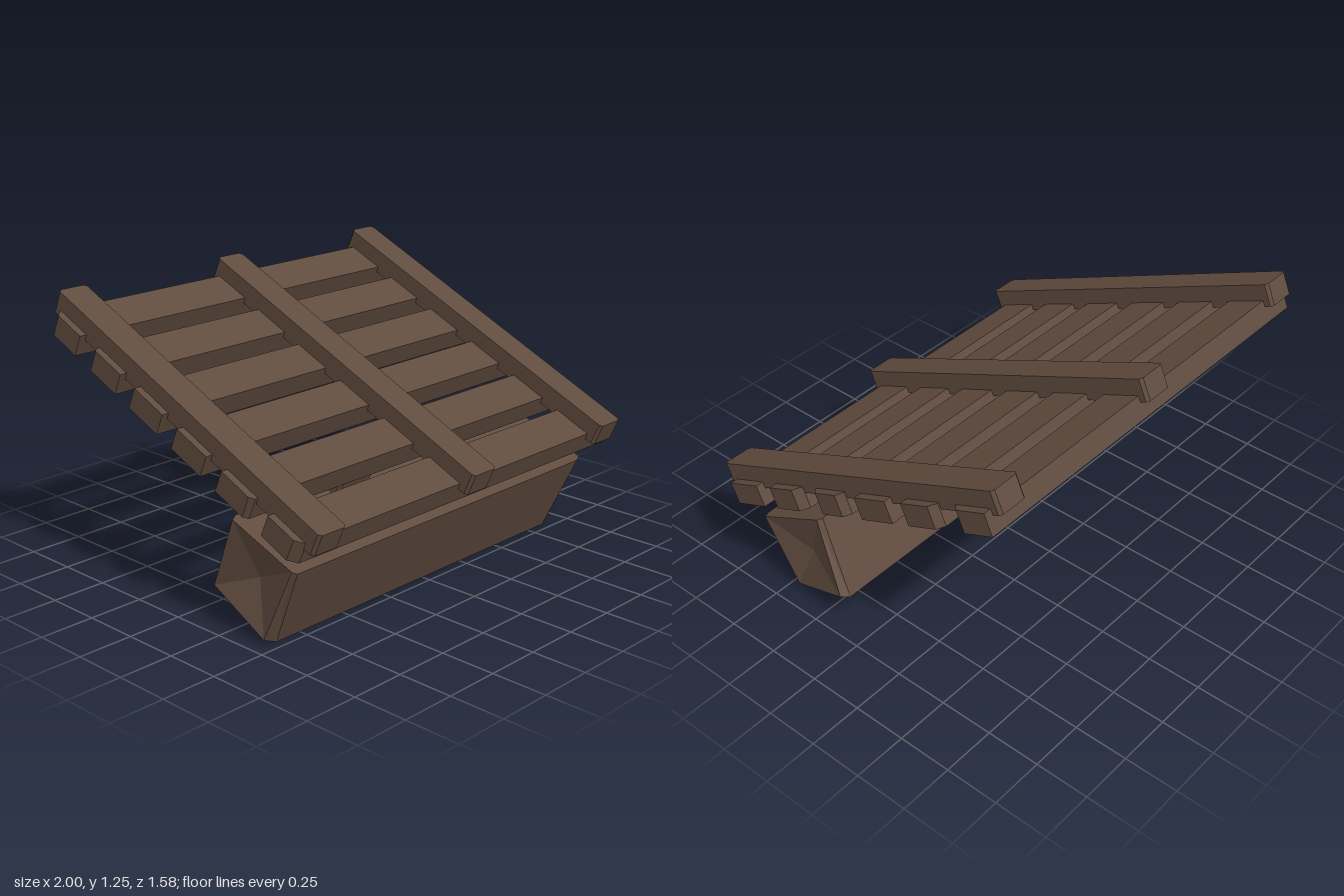
import * as THREE from 'three';

const wood = new THREE.MeshStandardMaterial({ color: 0x614c3f });
wood.name = 'darkWood';

// Flat board seen from above, cuts = corner chamfers in order
// (-x,+z), (+x,+z), (+x,-z), (-x,-z)
function board(name, w, h, d, cuts, x, y, z) {
  const [a, b, c, e] = cuts, X = w / 2, Z = d / 2;
  const pts = [
    [-X, -Z + a], [-X + a, -Z], [X - b, -Z], [X, -Z + b],
    [X, Z - c], [X - c, Z], [-X + e, Z], [-X, Z - e],
  ].filter((p, i, all) => i === 0 || Math.hypot(p[0] - all[i - 1][0], p[1] - all[i - 1][1]) > 1e-5);
  const shape = new THREE.Shape(pts.map(([px, py]) => new THREE.Vector2(px, py)));
  const geo = new THREE.ExtrudeGeometry(shape, { depth: h, bevelEnabled: false });
  geo.rotateX(-Math.PI / 2).translate(0, -h / 2, 0);
  const mesh = new THREE.Mesh(geo, wood);
  mesh.name = name;
  mesh.position.set(x, y, z);
  return mesh;
}

// Square beam with roughly hewn, hollowed ends
function hewnBeam() {
  const top = 0.567, bottom = 0.187, front = 0.418, back = 0.043, inset = 0.018;
  // Corners run top front, bottom front, bottom back, top back
  const full = [[top, front], [bottom, front], [bottom, back], [top, back]];
  const rim = [[top, front - inset], [bottom + inset, front - inset],
    [bottom + inset, back + inset], [top, back + inset]];
  const ring = (section, xs) => section.map(([y, z], i) => [xs[i], y, z]);
  const rings = [
    ring(rim, [-0.925, -0.94, -0.92, -0.945]),
    ring(full, [-0.91, -0.88, -0.88, -0.91]),
    ring(full, [0.9, 0.86, 0.91, 0.89]),
    ring(rim, [0.935, 0.905, 0.945, 0.91]),
  ];
  const midY = (top + bottom) / 2, midZ = (front + back) / 2;
  const pos = [];
  const tri = (...p) => p.forEach((v) => pos.push(...v));
  for (let k = 0; k < 4; k++) {
    const n = (k + 1) % 4;
    for (let r = 0; r < 3; r++) {
      const L = rings[r], R = rings[r + 1];
      tri(L[k], L[n], R[n]);
      tri(L[k], R[n], R[k]);
    }
    tri([-0.875, midY, midZ], rings[0][n], rings[0][k]);
    tri([0.875, midY, midZ], rings[3][k], rings[3][n]);
  }
  const geo = new THREE.BufferGeometry();
  geo.setAttribute('position', new THREE.Float32BufferAttribute(pos, 3));
  geo.computeVertexNormals();
  const mesh = new THREE.Mesh(geo, wood);
  mesh.name = 'supportBeam';
  return mesh;
}

export function createModel() {
  const model = new THREE.Group();
  model.name = 'slattedPlatform';

  // Everything shares one slope
  const tilt = new THREE.Group();
  tilt.name = 'tiltedFrame';
  tilt.rotation.x = 0.417;
  model.add(tilt);

  // Long rails on top
  for (const [x, name] of [[-0.895, 'rightRail'], [0, 'middleRail'], [0.892, 'leftRail']]) {
    tilt.add(board(name, 0.144, 0.103, 1.679, [0.013, 0.013, 0.013, 0.013], x, 0.79, -0.348));
  }

  // Cross slats, front to back, with chipped corners
  const chips = [
    [0.035, 0, 0, 0], [0.02, 0, 0.035, 0], [0, 0.03, 0.03, 0],
    [0, 0, 0, 0], [0, 0, 0.03, 0.015], [0, 0.035, 0, 0.03],
  ];
  chips.forEach((cuts, i) => {
    tilt.add(board('slat' + (i + 1), 2, 0.1, 0.186, cuts, 0, 0.717, 0.351 - i * 0.2806));
  });

  // Support beam and the two blocks holding the slats above it
  tilt.add(hewnBeam());
  const cut = [0.015, 0.015, 0.015, 0.015];
  tilt.add(board('frontBlock', 0.195, 0.15, 0.078, cut, 0.553, 0.625, 0.325));
  tilt.add(board('backBlock', 0.195, 0.15, 0.078, cut, -0.33, 0.625, 0.096));

  return model;
}
